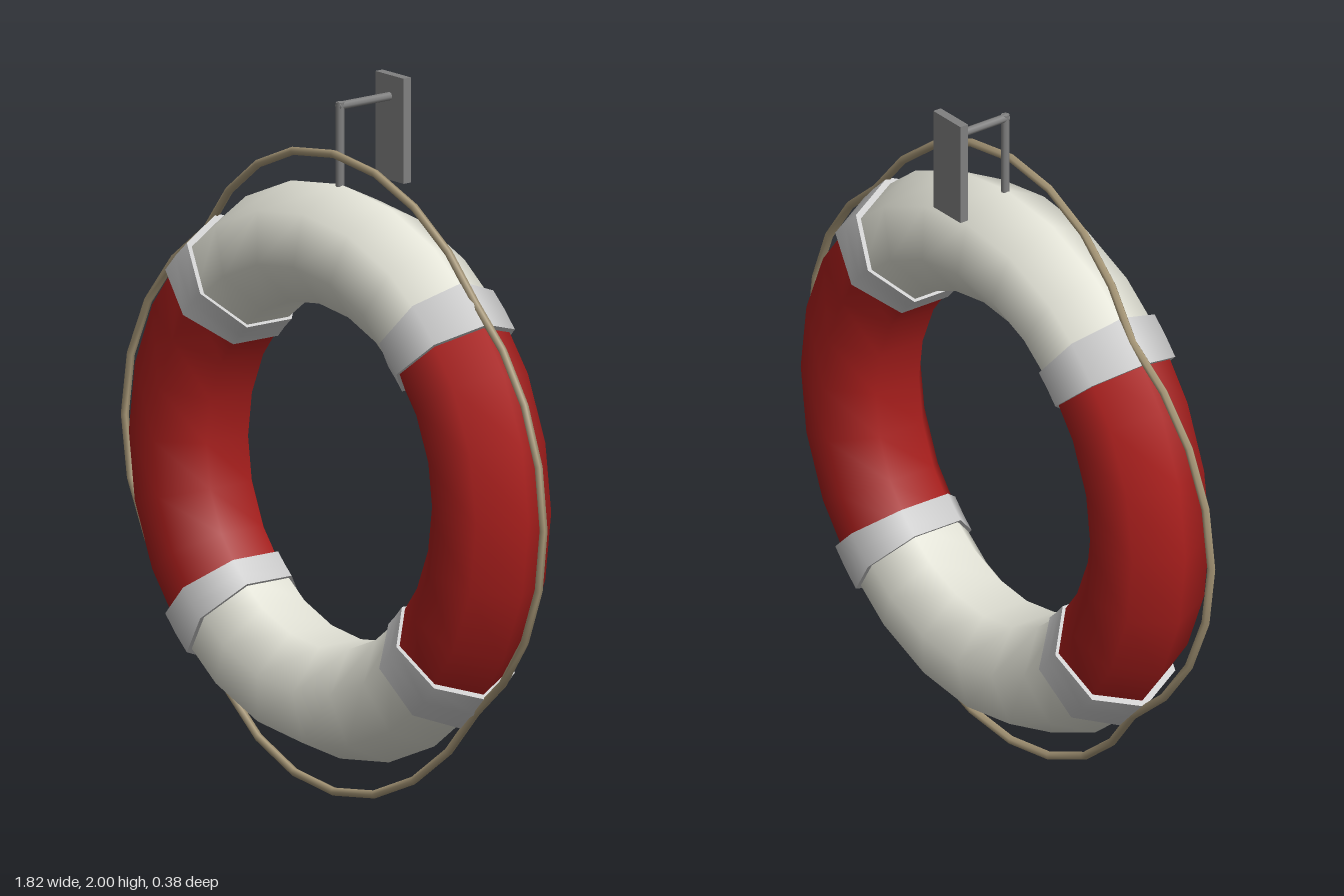
import * as THREE from 'three';
import { mergeGeometries } from 'three/addons/utils/BufferGeometryUtils.js';

const CY = 0.91, CZ = 0.017; // ring centre
const R = 0.638, TUBE = 0.171, SIDES = 7;

const mat = (color) => new THREE.MeshStandardMaterial({ color });

function add(parent, name, geometry, material) {
  const mesh = new THREE.Mesh(geometry, material);
  mesh.name = name;
  parent.add(mesh);
  return mesh;
}

// Torus sector wrapped round the ring, closed with a flat disc at each end
function bandGeometry(tube, arc) {
  const cap = (turn, angle) => new THREE.CircleGeometry(tube, SIDES)
    .rotateX(turn).translate(R, 0, 0).rotateZ(angle);
  return mergeGeometries([
    new THREE.TorusGeometry(R, tube, SIDES, 2, arc),
    cap(Math.PI / 2, 0),
    cap(-Math.PI / 2, arc),
  ]);
}

// Grab rope: loops away from the ring between the four bands
class RopeCurve extends THREE.Curve {
  getPoint(t, target = new THREE.Vector3()) {
    const a = t * Math.PI * 2;
    const swell = Math.abs(Math.cos(2 * a));
    const r = 0.815 + 0.083 * swell;
    return target.set(r * Math.cos(a), r * Math.sin(a), -0.004 + 0.026 * swell);
  }
  getPointAt(t, target) {
    return this.getPoint(t, target);
  }
}

export function createModel() {
  const model = new THREE.Group();
  model.name = 'lifebuoy';
  const white = mat(0xe4e4d8), red = mat(0xa81e1c), strap = mat(0xcccccc);
  const ropeMat = mat(0xa89878), metal = mat(0x808080);

  const ring = new THREE.Group();
  ring.name = 'ring';
  ring.position.set(0, CY, CZ);
  model.add(ring);

  // Four quarter floats in alternating colours, with a band over each joint
  const quarter = new THREE.TorusGeometry(R, TUBE, SIDES, 6, Math.PI / 2);
  const arc = THREE.MathUtils.degToRad(10);
  const band = bandGeometry(0.184, arc);
  for (let i = 0; i < 4; i++) {
    const joint = Math.PI / 4 + i * Math.PI / 2;
    add(ring, i % 2 ? 'redFloat' : 'whiteFloat', quarter, i % 2 ? red : white).rotation.z = joint;
    add(ring, 'band', band, strap).rotation.z = joint - arc / 2;
  }

  add(ring, 'rope', new THREE.TubeGeometry(new RopeCurve(), 32, 0.012, 5, true), ropeMat);

  // Wall bracket: plate, horizontal arm and drop rod
  const bracket = new THREE.Group();
  bracket.name = 'bracket';
  model.add(bracket);
  add(bracket, 'wallPlate', new THREE.BoxGeometry(0.122, 0.296, 0.026), metal)
    .position.set(0, 1.852, -0.172);
  const arm = add(bracket, 'arm', new THREE.CylinderGeometry(0.012, 0.012, 0.19, 8), metal);
  arm.rotation.x = Math.PI / 2;
  arm.position.set(0, 1.94, -0.07);
  add(bracket, 'dropRod', new THREE.CylinderGeometry(0.012, 0.012, 0.25, 8), metal)
    .position.set(0, 1.825, 0.017);
  add(bracket, 'elbow', new THREE.SphereGeometry(0.0125, 8, 6), metal)
    .position.set(0, 1.94, 0.017);

  return model;
}
